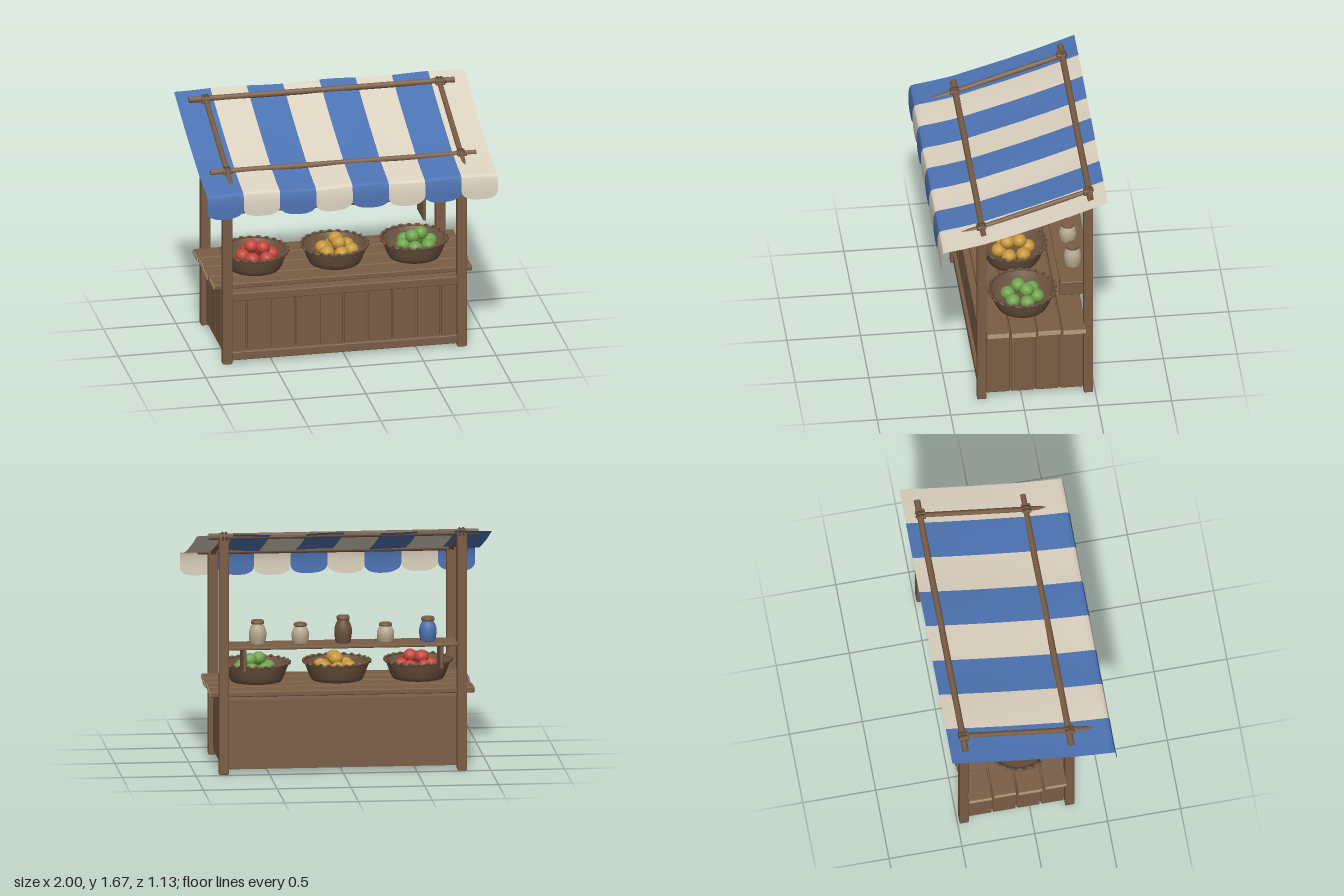
import * as THREE from 'three';
import { RoundedBoxGeometry } from 'three/addons/geometries/RoundedBoxGeometry.js';

const mat = (name, color, side = THREE.FrontSide) => {
  const m = new THREE.MeshStandardMaterial({ color, side });
  m.name = name;
  return m;
};

export function createModel() {
  const wood = mat('wood', 0x7a5d45);
  const darkWood = mat('dark wood', 0x5a4535);
  const endGrain = mat('end grain', 0xb59d7c);
  const wicker = mat('wicker', 0x6b513d, THREE.DoubleSide);
  const blue = mat('blue cloth', 0x4d73b3, THREE.DoubleSide);
  const cream = mat('cream cloth', 0xdcd2c0, THREE.DoubleSide);
  const clay = mat('pale clay', 0xb8a88e);
  const red = mat('red fruit', 0xc2453a);
  const yellow = mat('yellow fruit', 0xc6973a);
  const green = mat('green fruit', 0x6fa24a);

  const model = new THREE.Group();
  model.name = 'marketStall';

  const add = (name, geometry, material, parent = model) => {
    const mesh = new THREE.Mesh(geometry, material);
    mesh.name = name;
    parent.add(mesh);
    return mesh;
  };
  // Softly bevelled board given by its extents
  const board = (name, x0, x1, y0, y1, z0, z1, material = wood) => {
    const size = [x1 - x0, y1 - y0, z1 - z0];
    const bevel = Math.min(0.007, Math.min(...size) * 0.3);
    const mesh = add(name, new RoundedBoxGeometry(...size, 1, bevel), material);
    mesh.position.set((x0 + x1) / 2, (y0 + y1) / 2, (z0 + z1) / 2);
    return mesh;
  };

  // Corner posts
  for (const s of [-1, 1]) {
    const x = s * 0.808;
    board('frontPost', x - 0.033, x + 0.033, 0, 1.41, 0.238, 0.302);
    board('backPost', x - 0.033, x + 0.033, 0, 1.655, -0.486, -0.422);
  }

  // Counter body with front rails, front planks and side planks
  const core = add('counterBody', new THREE.BoxGeometry(1.57, 0.475, 0.67), wood);
  core.position.set(0, 0.265, -0.095);
  board('bottomRail', -0.78, 0.78, 0.02, 0.08, 0.235, 0.285);
  board('topRail', -0.78, 0.78, 0.448, 0.508, 0.235, 0.285);
  for (let i = 0; i < 10; i++) {
    const x = -0.835 + i * 0.167;
    board('frontPlank', Math.max(x + 0.006, -0.78), Math.min(x + 0.161, 0.78), 0.075, 0.455, 0.232, 0.262);
  }
  for (const s of [-1, 1]) {
    for (let i = 0; i < 4; i++) {
      const z = -0.422 + i * 0.165;
      const plank = board('sidePlank', -0.014, 0.014, 0.03, 0.503, z + 0.004, z + 0.161);
      plank.position.x = s * 0.796;
    }
  }

  // Counter top planks with pale sawn ends
  [[0.087, 0.243], [-0.094, 0.077], [-0.262, -0.104], [-0.435, -0.272]].forEach(([z0, z1], i) => {
    const half = 0.888 + (i % 2) * 0.008;
    board('counterTopPlank', -half, half, 0.524, 0.561, z0, z1);
    for (const s of [-1, 1]) {
      const end = add('plankEnd', new THREE.BoxGeometry(0.005, 0.028, z1 - z0 - 0.01), endGrain);
      end.position.set(s * (half + 0.001), 0.5425, (z0 + z1) / 2);
    }
  });

  // Shelf and brackets
  board('shelf', -0.78, 0.78, 0.856, 0.876, -0.492, -0.268);
  for (const s of [-1, 1]) {
    board('shelfBracket', s * 0.668 - 0.011, s * 0.668 + 0.011, 0.7, 0.86, -0.488, -0.274);
  }

  // Jars: lathed body and wooden lid
  const jarProfile = [[0, 0], [0.046, 0], [0.052, 0.04], [0.059, 0.3], [0.059, 0.52], [0.05, 0.7],
    [0.038, 0.82], [0.038, 0.88], [0, 0.88]];
  const lidProfile = [[0, 0.85], [0.042, 0.85], [0.045, 0.89], [0.045, 0.95], [0.039, 1], [0, 1]];
  [[-0.585, 0.165, blue], [-0.298, 0.13, clay], [-0.01, 0.185, wicker], [0.28, 0.14, clay], [0.57, 0.165, clay]]
    .forEach(([x, h, material]) => {
      const jar = new THREE.Group();
      jar.name = 'jar';
      jar.position.set(x, 0.876, -0.375);
      model.add(jar);
      const lathe = (p) => new THREE.LatheGeometry(p.map(([r, y]) => new THREE.Vector2(r, y * h)), 20);
      add('jarBody', lathe(jarProfile), material, jar);
      add('jarLid', lathe(lidProfile), wood, jar);
    });

  // Baskets of fruit
  const basketProfile = [[0, 0], [0.172, 0], [0.188, 0.03], [0.222, 0.122], [0.212, 0.122], [0.175, 0.045], [0, 0.04]]
    .map(([r, y]) => new THREE.Vector2(r, y));
  const rimPoints = Array.from({ length: 96 }, (_, i) => {
    const a = (i / 96) * Math.PI * 2;
    const r = 0.223 + 0.006 * Math.cos(a * 24);
    return new THREE.Vector3(Math.cos(a) * r, 0.125 + 0.006 * Math.sin(a * 24), Math.sin(a) * r);
  });
  const rim = new THREE.TubeGeometry(new THREE.CatmullRomCurve3(rimPoints, true), 192, 0.009, 5, true);
  const fruitGeometry = new THREE.SphereGeometry(0.05, 14, 10);
  [[-0.553, red], [-0.002, yellow], [0.545, green]].forEach(([x, material], k) => {
    const basket = new THREE.Group();
    basket.name = 'fruitBasket';
    basket.position.set(x, 0.561, -0.035);
    model.add(basket);
    add('basketBowl', new THREE.LatheGeometry(basketProfile, 32), wicker, basket);
    add('basketRim', rim, wicker, basket);
    for (let i = 0; i < 8; i++) {
      const top = i > 5;
      const a = top ? i * Math.PI + 0.5 + k : (i / 6) * Math.PI * 2 + k * 0.4;
      const r = top ? 0.042 : 0.1;
      const fruit = add('fruit', fruitGeometry, material, basket);
      fruit.position.set(Math.cos(a) * r + 0.015, top ? 0.145 : 0.088, Math.sin(a) * r);
      fruit.scale.y = 0.92;
    }
  });

  // Cross poles, rafters and their rope lashings
  const pole = (name, from, to, r0, r1) => {
    const a = new THREE.Vector3(...from), b = new THREE.Vector3(...to);
    const mesh = add(name, new THREE.CylinderGeometry(r1, r0, a.distanceTo(b), 8), wood);
    mesh.position.copy(a).add(b).multiplyScalar(0.5);
    mesh.quaternion.setFromUnitVectors(new THREE.Vector3(0, 1, 0), b.sub(a).normalize());
  };
  pole('frontPole', [-0.92, 1.392, 0.265], [0.91, 1.392, 0.265], 0.024, 0.02);
  pole('backPole', [-0.92, 1.635, -0.46], [0.91, 1.635, -0.46], 0.022, 0.022);
  for (const s of [-1, 1]) {
    pole('rafter', [s * 0.805, 1.327, 0.46], [s * 0.805, 1.64, -0.48], 0.02, 0.018);
    for (const [y, z] of [[1.393, 0.268], [1.632, -0.458]]) {
      for (const dx of [-0.012, 0.012]) {
        const rope = add('ropeLashing', new THREE.TorusGeometry(0.03, 0.007, 6, 16), darkWood);
        rope.rotation.y = Math.PI / 2;
        rope.position.set(s * 0.805 + dx, y, z);
      }
    }
  }

  // Awning: striped cloth sheet ending in a scalloped valance
  const sheet = [[-0.565, 1.664], [-0.455, 1.624], [-0.3, 1.568], [-0.09, 1.498], [0.1, 1.44],
    [0.265, 1.39], [0.42, 1.358], [0.52, 1.342], [0.548, 1.333]];
  const hang = [0.07, 0.25, 0.5, 0.75, 1];
  const awning = new THREE.Group();
  awning.name = 'awning';
  model.add(awning);
  const cols = 16, rows = sheet.length + hang.length;
  for (let stripe = 0; stripe < 8; stripe++) {
    const positions = [], index = [];
    for (let r = 0; r < rows; r++) {
      for (let c = 0; c <= cols; c++) {
        const u = -Math.cos((c / cols) * Math.PI); // columns crowd toward the scallop corners
        const x = -0.875 + stripe * 0.25 + u * 0.125;
        const wave = 0.005 * Math.sin(x * 9 + 1);
        if (r < sheet.length) {
          positions.push(x, sheet[r][1] + wave, sheet[r][0]);
        } else {
          const t = hang[r - sheet.length];
          const drop = 0.105 + 0.06 * Math.sqrt(Math.max(0, 1 - Math.abs(u) ** 2.6));
          positions.push(x, 1.333 + wave - t * drop, 0.548 + 0.014 * Math.sin(Math.min(1, t * 2) * Math.PI / 2));
        }
        if (r < rows - 1 && c < cols) {
          const a = r * (cols + 1) + c, b = a + cols + 1;
          index.push(a, b, a + 1, b, b + 1, a + 1);
        }
      }
    }
    const geometry = new THREE.BufferGeometry();
    geometry.setAttribute('position', new THREE.Float32BufferAttribute(positions, 3));
    geometry.setIndex(index);
    geometry.computeVertexNormals();
    add('awningStripe', geometry, stripe % 2 ? cream : blue, awning);
  }
  return model;
}
